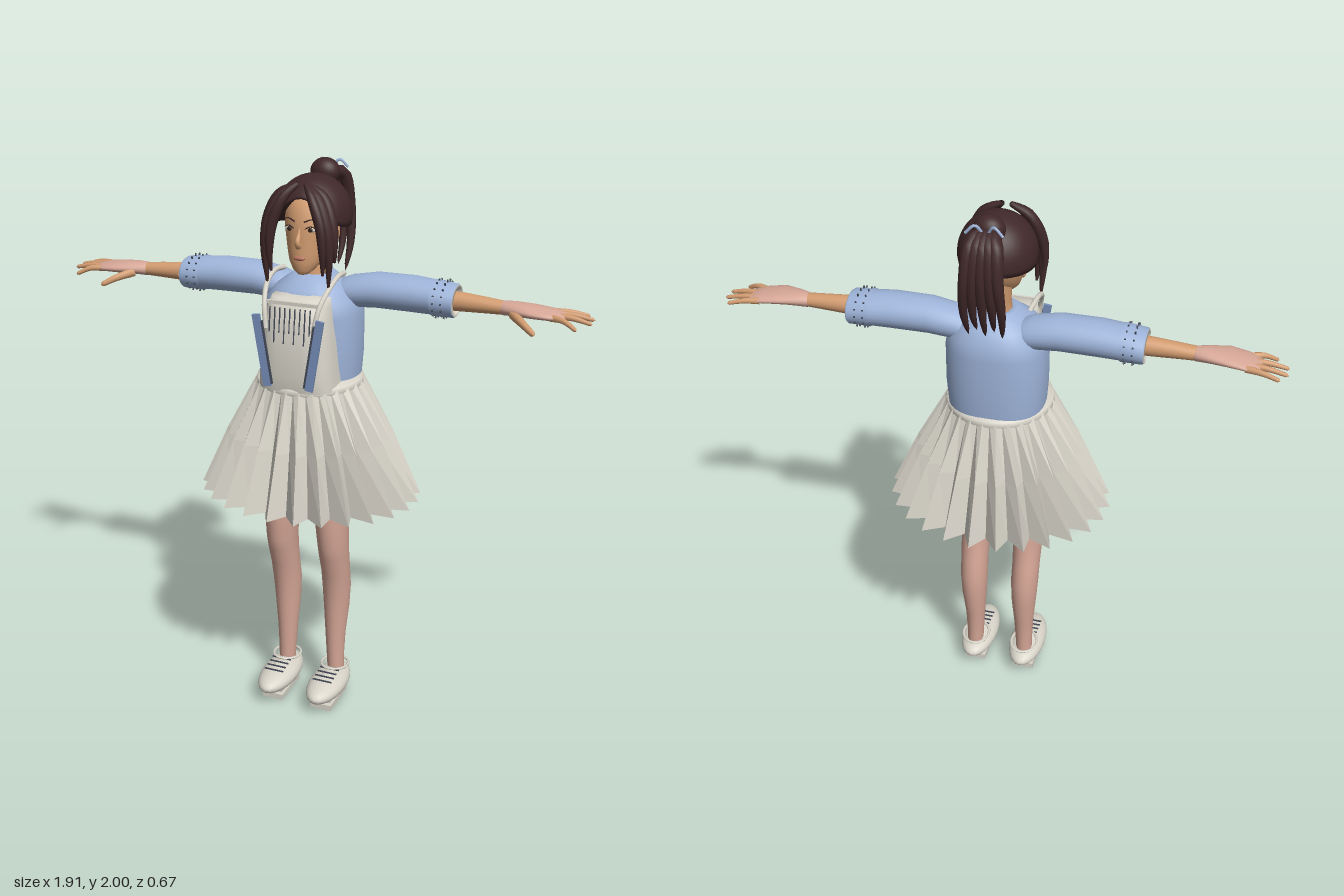
import * as THREE from 'three';
import { mergeGeometries } from 'three/addons/utils/BufferGeometryUtils.js';

const V = (x, y, z) => new THREE.Vector3(x, y, z);
const material = (name, color, side = THREE.FrontSide) => {
  const m = new THREE.MeshStandardMaterial({ color, side });
  m.name = name;
  return m;
};

// Closed skin over rows of points (each row is one ring)
function skin(rows) {
  const n = rows[0].length, pos = [], idx = [];
  rows.forEach(r => r.forEach(p => pos.push(p.x, p.y, p.z)));
  for (let i = 0; i < rows.length - 1; i++) for (let j = 0; j < n; j++) {
    const a = i * n + j, b = i * n + (j + 1) % n;
    idx.push(a, b, a + n, b, b + n, a + n);
  }
  const g = new THREE.BufferGeometry();
  g.setAttribute('position', new THREE.Float32BufferAttribute(pos, 3));
  g.setIndex(idx);
  g.computeVertexNormals();
  return g;
}

// Rings listed upwards as [y, cx, cz, rx, rz]; power below 1 squares the outline
function loft(rings, n = 28, power = 1) {
  const f = v => Math.sign(v) * Math.abs(v) ** power;
  return skin(rings.map(([y, cx, cz, rx, rz]) => Array.from({ length: n }, (_, j) => {
    const a = j / n * Math.PI * 2;
    return V(cx + rx * f(Math.cos(a)), y, cz - rz * f(Math.sin(a)));
  })));
}

// Loft along +x, rings as [x, cy, cz, ry, rz]
const loftX = (rings, n = 24) =>
  loft(rings.map(([x, y, z, ry, rz]) => [x, -y, z, ry, rz]), n).rotateZ(-Math.PI / 2);

// Tube along a curve with a radius that changes by rule
function strand(points, radius, n = 10, steps = 16) {
  const c = new THREE.CatmullRomCurve3(points), f = c.computeFrenetFrames(steps);
  return skin(Array.from({ length: steps + 1 }, (_, i) => {
    const p = c.getPointAt(i / steps), r = radius(i / steps);
    return Array.from({ length: n }, (_, j) => {
      const a = j / n * Math.PI * 2;
      return p.clone().addScaledVector(f.normals[i], r * Math.cos(a)).addScaledVector(f.binormals[i], r * Math.sin(a));
    });
  }));
}

const ball = (x, y, z, rx, ry, rz) => new THREE.SphereGeometry(1, 24, 16).scale(rx, ry, rz).translate(x, y, z);
const box = (x, y, z, w, h, d) => new THREE.BoxGeometry(w, h, d).translate(x, y, z);

function mirrored(g) {
  const m = g.clone().scale(-1, 1, 1), i = m.index.array;
  for (let k = 0; k < i.length; k += 3) [i[k], i[k + 1]] = [i[k + 1], i[k]];
  m.computeVertexNormals();
  return m;
}

export function createModel() {
  const model = new THREE.Group();
  const skinTan = material('tan skin', 0xd29c70), skinPink = material('pink skin', 0xd6a797);
  const blue = material('blue cloth', 0x9db3d8, THREE.DoubleSide), deepBlue = material('deep blue trim', 0x7890bb);
  const cream = material('cream cloth', 0xd8d4c9, THREE.DoubleSide), hair = material('brown hair', 0x402829, THREE.DoubleSide);
  const dark = material('dark stitching', 0x454b58), lip = material('lips', 0xb87460);
  const white = material('eye white', 0xe2d6c8), iris = material('dark eye', 0x35241e);
  const add = (name, g, m) => {
    const mesh = new THREE.Mesh(g, m);
    mesh.name = name;
    model.add(mesh);
  };
  const pair = (name, g, m) => { add('left ' + name, g, m); add('right ' + name, mirrored(g), m); };

  // Head and face
  add('head', loft([[1.645, 0, .065, 0, 0], [1.646, 0, .065, .018, .02], [1.66, 0, .058, .036, .037], [1.69, 0, .032, .057, .069],
    [1.72, 0, .01, .069, .09], [1.76, 0, -.006, .079, .105], [1.8, 0, -.014, .086, .113], [1.85, 0, -.02, .088, .114],
    [1.9, 0, -.02, .072, .09], [1.93, 0, -.02, 0, 0]], 32), skinTan);
  add('neck', loft([[1.55, 0, -.03, .07, .06], [1.61, 0, -.028, .05, .05], [1.66, 0, -.03, .044, .048], [1.76, 0, -.045, .05, .055]]), skinTan);
  add('nose', strand([V(0, 1.815, .091), V(0, 1.785, .1), V(0, 1.758, .112), V(0, 1.744, .1)], t => .003 + .009 * t), skinTan);
  add('mouth', ball(0, 1.704, .098, .021, .008, .008), lip);
  pair('ear', ball(.084, 1.775, -.025, .01, .03, .018), skinTan);
  pair('eye', ball(.037, 1.8, .086, .017, .008, .007).rotateY(.03), white);
  pair('iris', ball(.037, 1.8, .092, .008, .008, .004), iris);
  pair('eyelash', strand([V(.019, 1.802, .094), V(.037, 1.811, .094), V(.057, 1.803, .082)], () => .002, 6), iris);
  pair('eyebrow', strand([V(.016, 1.825, .096), V(.04, 1.834, .089), V(.062, 1.828, .076)], t => .003 - .002 * t, 6), hair);

  // Hair cap with an arched opening over the forehead
  const capRows = [];
  for (let i = 0; i <= 15; i++) capRows.push(Array.from({ length: 40 }, (_, j) => {
    const a = j / 40 * Math.PI * 2, front = Math.max(0, -Math.sin(a));
    const t = (1.8 - 1.4 * .55 * front ** 3) * (1 - Math.min(i, 14) / 14);
    const inner = i === 15, k = Math.sin(1.8 - .77 * front ** 3) * .6;
    return V(.13 * Math.cos(a) * Math.sin(t), 1.828 + .135 * Math.cos(t), -.03 - .132 * Math.sin(a) * Math.sin(t));
  }));
  capRows.pop();
  const rim = capRows[0].map(p => V(p.x * .6, p.y + .005, -.03 + (p.z + .03) * .7));
  add('hair cap', skin([rim, ...capRows]), hair);
  add('hair bun', ball(0, 1.952, -.13, .052, .047, .043), hair);
  const tail = [-.062, -.032, 0, .032, .062].map((x, i) => strand(
    [V(x * .2, 1.95, -.14), V(x * .6, 1.94, -.195), V(x * .85, 1.82, -.23), V(x, 1.7, -.215), V(x * .9, 1.6 + (i % 2) * .02, -.18)],
    t => .027 * Math.min(1, .6 + 2 * t) * Math.sqrt(1 - t)));
  add('ponytail', mergeGeometries(tail), hair);
  pair('hair ribbon', strand([V(0, 1.94, -.17), V(.03, 1.985, -.185), V(.06, 1.96, -.19)], () => .005, 6), blue);
  const locks = [[0, 1.62, 0], [-.018, 1.66, .008], [.012, 1.7, -.022]].map(([dx, end, dz]) => strand(
    [V(.015, 1.945, .075), V(.065 + dx, 1.91, .1 + dz), V(.104 + dx, 1.82, .117 + dz), V(.113 + dx, 1.73, .12 + dz), V(.11 + dx, end, .112 + dz)],
    t => .003 + .016 * Math.sin(Math.PI * Math.min(1, t * .85 + .12))));
  pair('front locks', mergeGeometries(locks), hair);

  // Blouse
  add('blouse', loft([[1.26, 0, -.03, .165, .145], [1.36, 0, -.032, .172, .15], [1.5, 0, -.032, .172, .15], [1.55, 0, -.032, .158, .143],
    [1.59, 0, -.033, .125, .118], [1.615, 0, -.034, .09, .088], [1.635, 0, -.035, .064, .066], [1.63, 0, -.035, .045, .045]], 40, .85), blue);
  pair('sleeve', loftX([[.06, 1.555, -.058, .03, .045], [.08, 1.56, -.058, .045, .06], [.13, 1.57, -.058, .055, .07], [.22, 1.582, -.058, .06, .073],
    [.35, 1.582, -.058, .061, .073], [.42, 1.578, -.058, .058, .072], [.425, 1.577, -.058, .061, .075], [.495, 1.573, -.058, .056, .073], [.5, 1.573, -.058, .052, .068]]), blue);
  pair('cuff lining', loftX([[.5, 1.573, -.058, .053, .069], [.502, 1.573, -.058, .044, .057], [.46, 1.573, -.058, .02, .02]]), cream);
  const stitches = [];
  for (const x of [.437, .465]) for (let k = 0; k < 16; k++) {
    const a = k / 16 * Math.PI * 2;
    stitches.push(new THREE.BoxGeometry(.005, .012, .004).rotateX(Math.PI / 2 - a)
      .translate(x, 1.576 + .06 * Math.sin(a), -.058 + .0745 * Math.cos(a)));
  }
  pair('cuff stitching', mergeGeometries(stitches), dark);

  // Forearms and hands
  pair('forearm', loftX([[.4, 1.573, -.055, .034, .034], [.52, 1.573, -.055, .032, .031], [.6, 1.571, -.054, .027, .028], [.69, 1.568, -.052, .021, .026]]), skinTan);
  pair('palm', loftX([[.65, 1.569, -.053, .02, .025], [.66, 1.569, -.053, .024, .03], [.7, 1.571, -.05, .023, .043], [.76, 1.57, -.046, .02, .058],
    [.82, 1.565, -.052, .016, .057], [.86, 1.561, -.058, .01, .045], [.87, 1.56, -.058, 0, 0]]), skinPink);
  const fingers = [[-.095, .93, -.122, 1.552], [-.07, .953, -.083, 1.551], [-.045, .953, -.038, 1.549], [-.018, .915, .022, 1.54]]
    .map(([z, x, tipZ, y]) => strand([V(.82, 1.563, z), V((.82 + x) / 2, 1.562, (z + tipZ) / 2), V(x, y, tipZ)], t => t > .99 ? 0 : .0125 - .006 * t, 8));
  fingers.push(strand([V(.7, 1.56, -.02), V(.745, 1.545, .03), V(.79, 1.522, .062)], t => t > .99 ? 0 : .017 - .008 * t, 8));
  pair('fingers', mergeGeometries(fingers), skinTan);

  // Bib with tucks, straps and side ruffles
  add('bib', loft([[1.265, 0, .06, .14, .128], [1.32, 0, .06, .135, .136], [1.42, 0, .06, .128, .134], [1.5, 0, .06, .118, .124],
    [1.55, 0, .06, .11, .108], [1.575, 0, .06, .1, .085], [1.58, 0, .06, .05, .04]], 36, .6), cream);
  const tucks = [];
  for (let k = -4; k <= 4; k++) {
    const h = .05 + .035 * ((k * k + 9) % 4);
    tucks.push(new THREE.BoxGeometry(.003, h, .005).rotateX(-.13).translate(k * .018, 1.555 - h / 2, .176 + h * .07));
  }
  add('bib tucks', mergeGeometries(tucks), dark);
  add('bib top hem', box(0, 1.565, .158, .19, .012, .009), cream);
  pair('strap', strand([V(.085, 1.48, .185), V(.098, 1.56, .165), V(.112, 1.615, .11), V(.115, 1.64, .04), V(.11, 1.635, -.03)], () => .009, 8), cream);
  pair('bib ruffle', new THREE.BoxGeometry(.028, .25, .009).rotateZ(-.16).translate(.095, 1.405, .197), deepBlue);
  pair('ruffle edge', new THREE.BoxGeometry(.005, .22, .009).rotateZ(-.16).translate(.076, 1.4, .199), dark);

  // Pleated skirt with crisp folds
  const pleats = 26;
  const skirtRow = (y, rx, rz, depth) => Array.from({ length: pleats * 2 }, (_, j) => {
    const a = (j + .5) / pleats * Math.PI, k = j % 2 ? 1 - depth : 1;
    return V(rx * k * Math.cos(a), y, -rz * k * Math.sin(a));
  });
  const skirt = skin([skirtRow(.84, .402, .335, .2), skirtRow(1.06, .3, .267, .15), skirtRow(1.27, .185, .19, .05)]).toNonIndexed();
  skirt.computeVertexNormals();
  add('pleated skirt', skirt, cream);
  add('waistband', loft([[1.25, 0, 0, .18, .186], [1.255, 0, 0, .187, .192], [1.275, 0, 0, .184, .19], [1.283, 0, -.01, .155, .16]], 40), cream);

  // Legs
  pair('leg', loft([[.08, .1, -.01, .03, .034], [.15, .098, -.01, .032, .035], [.25, .097, -.012, .037, .042], [.36, .098, -.019, .046, .055],
    [.45, .099, -.016, .051, .061], [.53, .1, 0, .051, .064], [.6, .1, .018, .053, .07], [.65, .1, .026, .055, .075], [.74, .098, .034, .059, .077],
    [.84, .094, .038, .063, .079], [1, .09, .03, .075, .09], [1.2, .08, 0, .08, .1]]), skinPink);

  // Shoes
  pair('shoe', ball(.098, .073, .06, .068, .043, .149), cream);
  pair('sole', mergeGeometries([box(.098, .011, .057, .08, .022, .165), box(.098, .03, .057, .06, .018, .13)]), cream);
  pair('ankle strap', new THREE.TorusGeometry(1, .1, 8, 28).rotateX(Math.PI / 2).scale(.05, .045, .058).rotateX(-.08).translate(.098, .122, -.005), cream);
  pair('shoe tongue', ball(.098, .112, .06, .022, .008, .045), cream);
  pair('laces', mergeGeometries([.05, .075, .1, .125].map(z => box(.098, .125 - (z - .05) * .12, z, .075, .004, .005))), dark);
  return model;
}
